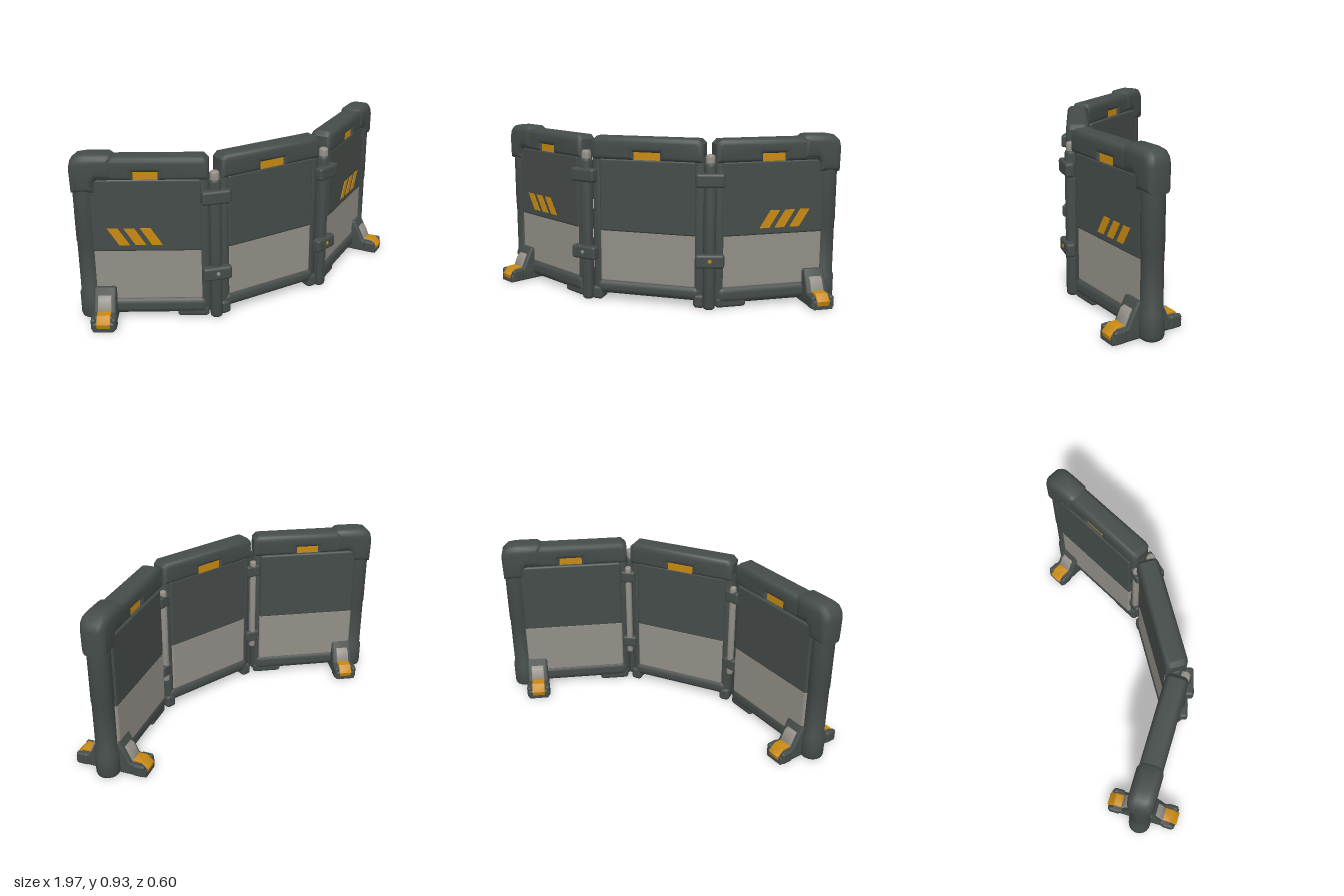
import * as THREE from 'three';
import { toCreasedNormals } from 'three/addons/utils/BufferGeometryUtils.js';
import { RoundedBoxGeometry } from 'three/addons/geometries/RoundedBoxGeometry.js';

const material = (name, color) => {
  const m = new THREE.MeshStandardMaterial({ color });
  m.name = name;
  return m;
};

export function createModel() {
  const dark = material('dark grey green', 0x454c49);
  const grey = material('warm grey', 0x938e87);
  const orange = material('orange', 0xc98a12);
  const model = new THREE.Group();
  model.name = 'foldingBarrier';

  const add = (parent, name, geometry, mat, x = 0, y = 0, z = 0) => {
    const mesh = new THREE.Mesh(geometry, mat);
    mesh.name = name;
    mesh.position.set(x, y, z);
    parent.add(mesh);
    return mesh;
  };
  const box = (w, h, d, r) => new RoundedBoxGeometry(w, h, d, 4, r);

  // Outline in x, y with a rounded thickness centred on z = 0
  const slab = (points, thickness, bevel) => {
    const shape = new THREE.Shape(points.map(([x, y]) => new THREE.Vector2(x, y)));
    const g = new THREE.ExtrudeGeometry(shape, {
      depth: thickness - 2 * bevel, bevelEnabled: bevel > 0, bevelSize: bevel,
      bevelThickness: bevel, bevelOffset: -bevel, bevelSegments: 4,
    });
    g.translate(0, 0, -thickness / 2 + bevel);
    return toCreasedNormals(g, 0.7);
  };

  const turned = (points) => toCreasedNormals(
    new THREE.LatheGeometry(points.map(([r, y]) => new THREE.Vector2(r, y)), 24), 0.7);

  // Upright with softened ends
  const upright = (r, y0, y1) => turned([
    [0, y0], [r * 0.7, y0], [r * 0.93, y0 + r * 0.2], [r, y0 + r * 0.6],
    [r, y1 - r * 0.6], [r * 0.93, y1 - r * 0.2], [r * 0.7, y1], [0, y1],
  ]);

  // Top rail with a grip slot cut in its lower edge
  const topRail = (parent, x0, x1, slot0, slot1, s) => {
    const outline = [
      [x0, 0.785], [slot0, 0.785], [slot0, 0.828], [slot1, 0.828], [slot1, 0.785], [x1, 0.785],
      [x1, 0.885], [x1 - 0.025, 0.91], [x0 + 0.025, 0.91], [x0, 0.885],
    ].map(([x, y]) => [x * s, y]);
    add(parent, 'topRail', slab(outline, 0.12, 0.03), dark);
    add(parent, 'gripInsert', new THREE.BoxGeometry(slot1 - slot0 + 0.03, 0.06, 0.085),
      orange, s * (slot0 + slot1) / 2, 0.808, 0);
  };

  // Two-tone plates filling a frame
  const plates = (parent, x0, x1, s, back) => {
    const w = x1 - x0, cx = s * (x0 + x1) / 2;
    add(parent, 'upperPlate', box(w, 0.4, 0.047 + back, 0.012), dark, cx, 0.592, (0.047 - back) / 2);
    add(parent, 'lowerPlate', box(w, 0.3, 0.042 + back, 0.012), grey, cx, 0.257, (0.042 - back) / 2);
  };

  // Centre section
  const centre = new THREE.Group();
  centre.name = 'centreSection';
  centre.position.z = 0.2;
  model.add(centre);
  topRail(centre, -0.31, 0.31, -0.07, 0.07, 1);
  plates(centre, -0.268, 0.268, 1, 0.045);
  add(centre, 'bottomRail', box(0.6, 0.085, 0.1, 0.038), dark, 0, 0.077, 0);
  for (const s of [1, -1]) {
    add(centre, 'innerPost', upright(0.04, 0.03, 0.82), dark, s * 0.28, 0, 0);
    add(centre, 'smallFoot', box(0.06, 0.075, 0.1, 0.018), dark, s * 0.288, 0.0375, 0);
  }

  // Stabiliser foot, shaped across the panel
  const footOutline = [
    [-0.2, 0], [0.2, 0], [0.2, 0.042], [0.168, 0.072], [0.118, 0.072], [0.088, 0.135], [0.06, 0.19],
    [-0.06, 0.19], [-0.088, 0.135], [-0.118, 0.072], [-0.168, 0.072], [-0.2, 0.042],
  ];
  const greyOutline = [[0.125, 0.045], [0.125, 0.082], [0.1, 0.14], [0.066, 0.16], [0.04, 0.1]];
  const orangeOutline = [[0.2, 0.02], [0.207, 0.045], [0.17, 0.082], [0.125, 0.083], [0.12, 0.04]];
  const foot = (parent, x) => {
    const g = new THREE.Group();
    g.name = 'stabiliserFoot';
    g.position.x = x;
    g.rotation.y = Math.PI / 2;
    parent.add(g);
    add(g, 'footBody', slab(footOutline, 0.12, 0.012), dark);
    for (const f of [1, -1]) {
      const side = (pts) => pts.map(([d, y]) => [d * f, y]);
      add(g, 'footBrace', slab(side(greyOutline), 0.072, 0.004), grey);
      add(g, 'footTip', slab(side(orangeOutline), 0.072, 0.004), orange);
      for (const k of [1, -1]) {
        add(g, 'footKnuckle', box(0.07, 0.07, 0.03, 0.014), dark, f * 0.16, 0.037, k * 0.052);
      }
    }
  };

  const angle = THREE.MathUtils.degToRad(31);
  for (const s of [1, -1]) {
    // Angled wing, local x running outward from the hinge
    const wing = new THREE.Group();
    wing.name = s > 0 ? 'leftWing' : 'rightWing';
    wing.position.set(s * 0.36, 0, 0.185);
    wing.rotation.y = s * angle;
    model.add(wing);
    topRail(wing, -0.01, 0.56, 0.25, 0.37, s);
    plates(wing, 0.03, 0.6, s, 0.06);
    add(wing, 'bottomRail', box(0.6, 0.1, 0.105, 0.04), dark, s * 0.3, 0.07, 0);
    add(wing, 'innerPost', upright(0.042, 0.02, 0.82), dark, s * 0.025, 0, 0);
    add(wing, 'smallFoot', box(0.17, 0.06, 0.09, 0.018), dark, s * 0.085, 0.03, 0);

    // Outer post with its collar, and the elbow at the top
    add(wing, 'outerPost', turned([
      [0, 0], [0.045, 0], [0.058, 0.01], [0.062, 0.025], [0.062, 0.14], [0.055, 0.155],
      [0.055, 0.435], [0.058, 0.445], [0.058, 0.75], [0, 0.75],
    ]), dark, s * 0.63);
    const elbow = [
      [0.47, 0.79], [0.55, 0.79], [0.565, 0.775], [0.565, 0.72], [0.692, 0.72], [0.695, 0.85],
      [0.685, 0.89], [0.655, 0.918], [0.61, 0.925], [0.49, 0.925], [0.47, 0.91],
    ].map(([x, y]) => [x * s, y]);
    add(wing, 'cornerElbow', slab(elbow, 0.136, 0.04), dark);
    foot(wing, s * 0.55);

    // Slanted stripes on the front
    for (let i = 0; i < 3; i++) {
      const x = 0.235 + i * 0.085;
      const stripe = [[x, 0.43], [x + 0.055, 0.43], [x + 0.115, 0.525], [x + 0.06, 0.525]]
        .map(([px, y]) => [px * s, y]);
      add(wing, 'stripe', slab(stripe, 0.006, 0), orange, 0, 0, 0.047);
    }

    // Hinge between centre section and wing
    const hinge = new THREE.Group();
    hinge.name = 'hinge';
    hinge.position.set(s * 0.345, 0, 0.235);
    hinge.rotation.y = s * angle / 2;
    model.add(hinge);
    add(hinge, 'hingePost', upright(0.033, 0, 0.79), dark);
    add(hinge, 'hingePin', upright(0.025, 0.74, 0.832), grey);
    add(hinge, 'rearPin', upright(0.018, 0.2, 0.76), grey, 0, 0, -0.09);
    for (const y of [0.7, 0.27]) {
      add(hinge, 'frontClamp', box(0.155, 0.075, 0.05, 0.015), dark, 0, y, 0.024);
      add(hinge, 'rearClamp', box(0.085, 0.07, 0.04, 0.014), dark, 0, y, -0.09);
    }
    add(hinge, 'clampStud', new THREE.CylinderGeometry(0.01, 0.01, 0.006, 12).rotateX(Math.PI / 2),
      s > 0 ? orange : grey, 0, 0.275, 0.05);
  }
  return model;
}
